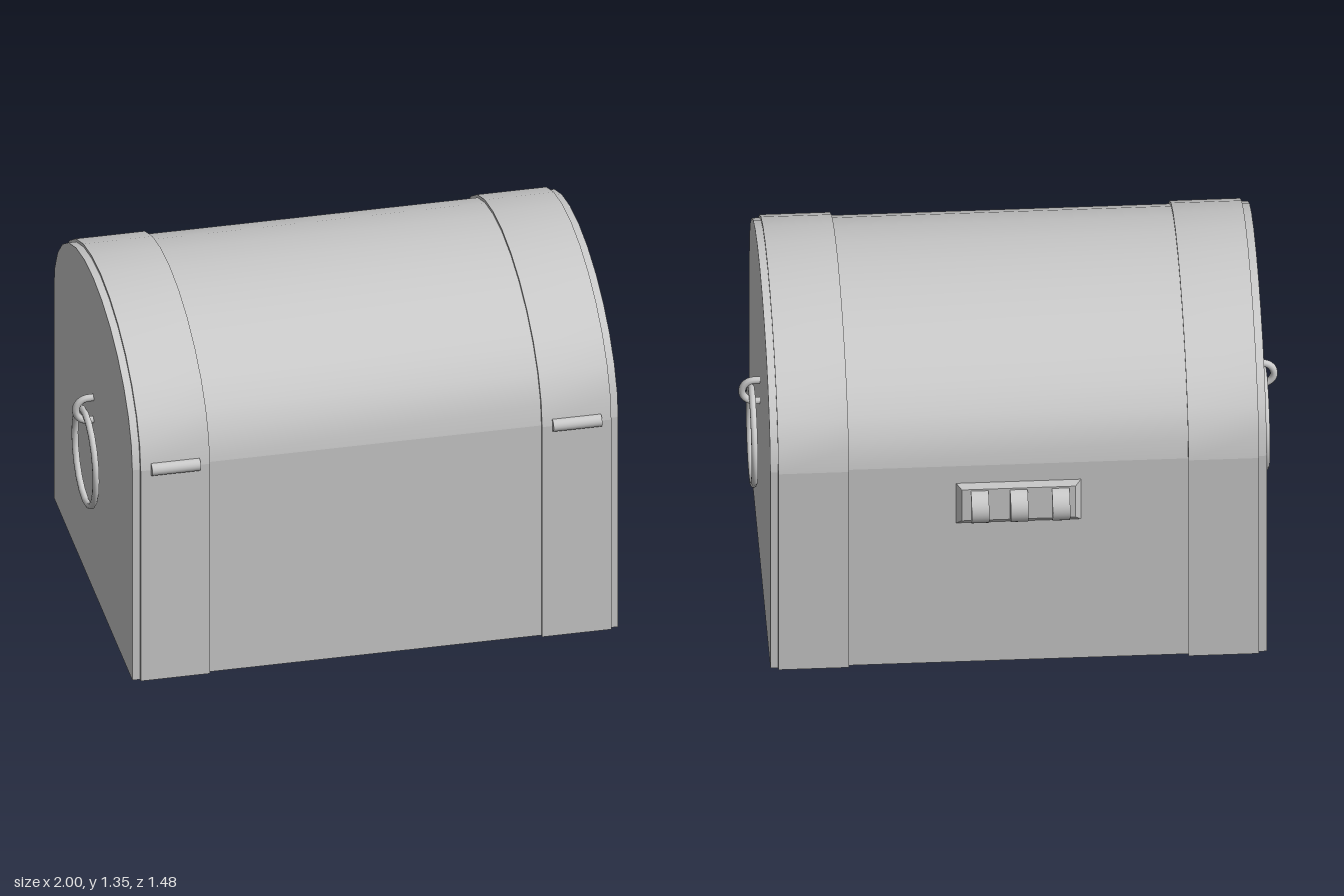
import * as THREE from 'three';
import { toCreasedNormals } from 'three/addons/utils/BufferGeometryUtils.js';

const MID_Z = 0.02;   // depth centre of the chest
const RIM_Y = 0.9;    // where the straight walls end and the lid begins

const material = new THREE.MeshStandardMaterial({ color: 0xcccccc });

function addMesh(parent, name, geometry, x = 0, y = 0, z = 0) {
  const mesh = new THREE.Mesh(geometry, material);
  mesh.name = name;
  mesh.position.set(x, y, z);
  parent.add(mesh);
  return mesh;
}

// Half-ellipse vault running along x
function vaultGeometry(halfDepth, rise, length) {
  const shape = new THREE.Shape();
  for (let i = 0; i <= 14; i++) {
    const a = (i / 14) * Math.PI;
    const x = halfDepth * Math.cos(a), y = rise * Math.sin(a);
    if (i === 0) shape.moveTo(x, y); else shape.lineTo(x, y);
  }
  shape.closePath();
  const g = new THREE.ExtrudeGeometry(shape, { depth: length, bevelEnabled: false });
  g.translate(0, 0, -length / 2).rotateY(Math.PI / 2);
  return toCreasedNormals(g, 0.5);
}

// Straight walls with a vaulted top
function archedBlock(parent, name, halfDepth, rise, length, x) {
  const group = new THREE.Group();
  group.name = name;
  addMesh(group, name + 'Walls', new THREE.BoxGeometry(length, RIM_Y, halfDepth * 2), x, RIM_Y / 2, MID_Z);
  addMesh(group, name + 'Lid', vaultGeometry(halfDepth, rise, length), x, RIM_Y, MID_Z);
  parent.add(group);
}

// Staple that holds the ring, bulging toward +x
function stapleGeometry() {
  const pts = [new THREE.Vector3(-0.04, 0.047, 0)];
  for (let i = 0; i <= 10; i++) {
    const a = Math.PI / 2 - (i / 10) * Math.PI;
    pts.push(new THREE.Vector3(0.047 * Math.cos(a), 0.047 * Math.sin(a), 0));
  }
  pts.push(new THREE.Vector3(-0.04, -0.047, 0));
  return new THREE.TubeGeometry(new THREE.CatmullRomCurve3(pts), 28, 0.014, 10);
}

// Plate whose outer (-z) face is smaller than its base
function plateGeometry(width, height, depth, inset) {
  const g = new THREE.BoxGeometry(width, height, depth);
  const p = g.attributes.position;
  for (let i = 0; i < p.count; i++) {
    if (p.getZ(i) < 0) {
      p.setX(i, p.getX(i) - Math.sign(p.getX(i)) * inset);
      p.setY(i, p.getY(i) - Math.sign(p.getY(i)) * inset);
    }
  }
  g.computeVertexNormals();
  return g;
}

export function createModel() {
  const chest = new THREE.Group();
  chest.name = 'chest';

  archedBlock(chest, 'body', 0.684, 0.436, 1.84, 0);

  for (const side of [-1, 1]) {
    const label = side > 0 ? 'left' : 'right';

    // Raised strap near each end
    archedBlock(chest, label + 'Band', 0.697, 0.447, 0.262, side * 0.76);

    // Hinge pin on the front
    addMesh(chest, label + 'Hinge', new THREE.CylinderGeometry(0.024, 0.024, 0.184, 20).rotateZ(Math.PI / 2),
      side * 0.76, 0.903, 0.717);

    // Carrying ring hanging from its staple
    const handle = new THREE.Group();
    handle.name = label + 'Handle';
    addMesh(handle, 'ring', new THREE.TorusGeometry(0.184, 0.0125, 10, 20).rotateZ(Math.PI / 2).rotateY(Math.PI / 2),
      0.949, 0.57, 0);
    addMesh(handle, 'staple', stapleGeometry(), 0.939, 0.774, 0);
    handle.position.z = MID_Z;
    if (side < 0) {
      handle.rotation.y = Math.PI;
    }
    chest.add(handle);
  }

  // Combination lock on the back
  const lock = new THREE.Group();
  lock.name = 'lock';
  addMesh(lock, 'lockPlate', plateGeometry(0.47, 0.19, 0.018, 0.024), 0, 0.73, -0.67);
  for (const x of [-0.155, 0, 0.145]) {
    addMesh(lock, 'lockDial', new THREE.CylinderGeometry(0.067, 0.067, 0.065, 32).rotateZ(Math.PI / 2), x, 0.727, -0.676);
  }
  chest.add(lock);

  return chest;
}
